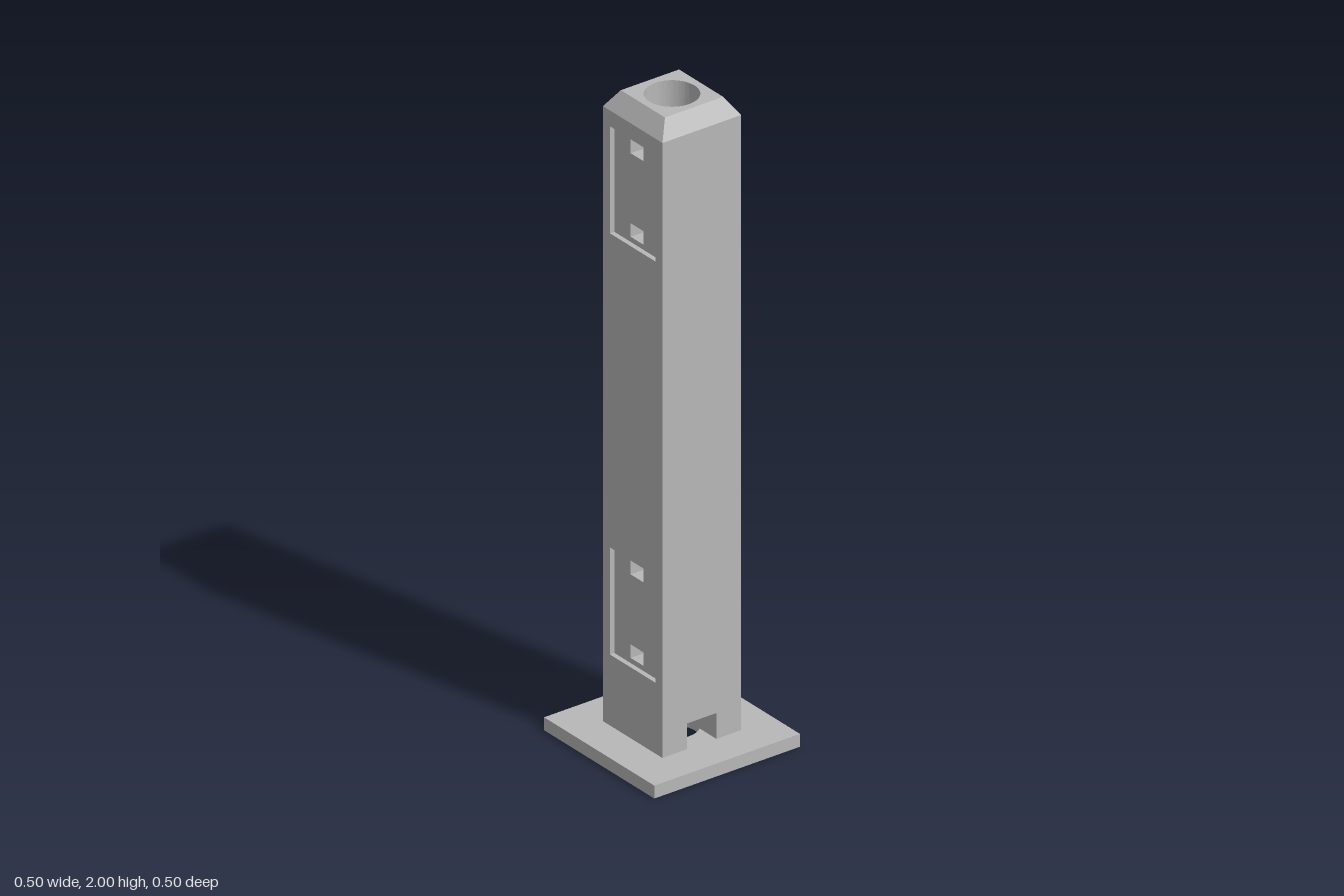
import * as THREE from 'three';
import { mergeGeometries, toCreasedNormals } from 'three/addons/utils/BufferGeometryUtils.js';

const HALF = 0.135;      // half width of the post
const BORE = 0.0775;     // radius of the vertical bore
const RECESS_X = 0.12;   // floor of the side recesses
const RECESS_Z = 0.103;  // half width of the recesses
const SLOT_Z = 0.029;    // half width of the small slots
const NOTCH_X = 0.05;    // half width of the notch at the foot
const PLATE_H = 0.04, NOTCH_TOP = 0.12, SHOULDER = 1.947, TOP = 2;
const RECESS_H = 0.332;
const SLOTS = [[0.016, 0.058], [0.275, 0.318]]; // slot heights within a recess

// Bottom heights of the recesses on each side
const RECESSES = { 1: [0.598, 1.566], [-1]: [0.26, 1.566] };

// Extrude a plan shape (x, z) upward from y0 to y1
function slab(shape, y0, y1) {
  const g = new THREE.ExtrudeGeometry(shape, { depth: y1 - y0, bevelEnabled: false, curveSegments: 64 });
  return g.rotateX(-Math.PI / 2).translate(0, y0, 0);
}

// Square plan with the bore cut out
function boredSquare(h) {
  const s = new THREE.Shape([[-h, -h], [h, -h], [h, h], [-h, h]].map(p => new THREE.Vector2(...p)));
  s.holes.push(new THREE.Path().absarc(0, 0, BORE, 0, Math.PI * 2, true));
  return s;
}

// One quarter of the post's plan, with its cut-outs
function quarter(sx, sz, recessed, slotted, notched) {
  const z0 = slotted ? SLOT_Z : 0;
  const x0 = notched ? NOTCH_X : 0;
  const pts = [];
  if (recessed) pts.push([RECESS_X, z0], [RECESS_X, RECESS_Z], [HALF, RECESS_Z]);
  else pts.push([HALF, z0]);
  pts.push([HALF, HALF], [x0, HALF]);
  const a0 = Math.acos(x0 / BORE), a1 = Math.asin(z0 / BORE), n = 16;
  for (let i = 0; i <= n; i++) {
    const a = a0 + (a1 - a0) * i / n;
    pts.push([BORE * Math.cos(a), BORE * Math.sin(a)]);
  }
  return new THREE.Shape(pts.map(([x, z]) => new THREE.Vector2(x * sx, z * sz)));
}

// Post body, stacked in layers between the heights where the plan changes
function postGeometry() {
  const levels = new Set([PLATE_H, NOTCH_TOP, SHOULDER]);
  for (const side of [1, -1]) for (const b of RECESSES[side]) {
    [0, RECESS_H, ...SLOTS.flat()].forEach(d => levels.add(+(b + d).toFixed(4)));
  }
  const ys = [...levels].sort((a, b) => a - b);
  const parts = [];
  for (let i = 0; i < ys.length - 1; i++) {
    const mid = (ys[i] + ys[i + 1]) / 2;
    for (const sx of [1, -1]) {
      const base = RECESSES[sx].find(b => mid > b && mid < b + RECESS_H);
      const recessed = base !== undefined;
      const slotted = recessed && SLOTS.some(([a, b]) => mid > base + a && mid < base + b);
      for (const sz of [1, -1]) {
        parts.push(slab(quarter(sx, sz, recessed, slotted, mid < NOTCH_TOP), ys[i], ys[i + 1]));
      }
    }
  }
  return mergeGeometries(parts);
}

// Chamfered cap: draw the outer top corners inward
function capGeometry() {
  const g = slab(boredSquare(HALF), SHOULDER, TOP);
  const p = g.attributes.position;
  for (let i = 0; i < p.count; i++) {
    if (p.getY(i) > TOP - 0.001 && Math.abs(p.getX(i)) > 0.13) {
      p.setX(i, Math.sign(p.getX(i)) * 0.1);
      p.setZ(i, Math.sign(p.getZ(i)) * 0.1);
    }
  }
  return g;
}

export function createModel() {
  const group = new THREE.Group();
  group.name = 'post';
  const grey = new THREE.MeshStandardMaterial({ color: 0xb8b8b8 });
  grey.name = 'grey';

  const add = (name, geometry) => {
    const mesh = new THREE.Mesh(toCreasedNormals(geometry, 0.4), grey);
    mesh.name = name;
    group.add(mesh);
  };
  add('basePlate', slab(boredSquare(0.25), 0, PLATE_H));
  add('postBody', postGeometry());
  add('chamferedCap', capGeometry());
  return group;
}
